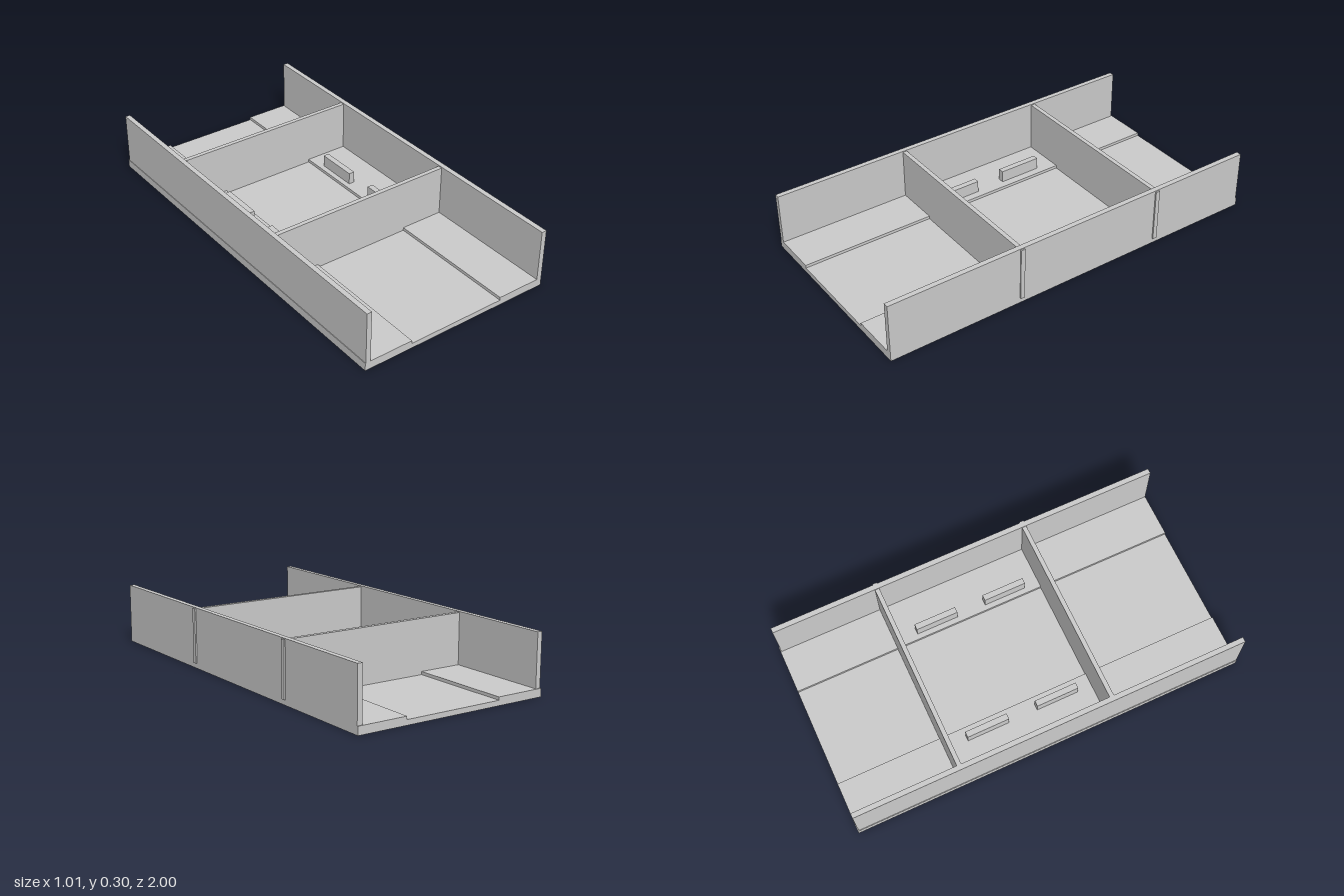
import * as THREE from 'three';

const material = new THREE.MeshStandardMaterial({ color: 0xcccccc, flatShading: true });

// Box given by its minimum and maximum along each axis
function slab(name, [x0, x1], [y0, y1], [z0, z1]) {
  const mesh = new THREE.Mesh(new THREE.BoxGeometry(x1 - x0, y1 - y0, z1 - z0), material);
  mesh.position.set((x0 + x1) / 2, (y0 + y1) / 2, (z0 + z1) / 2);
  mesh.name = name;
  return mesh;
}

export function createModel() {
  const group = new THREE.Group();
  group.name = 'openTray';

  // Floor with a shallow channel running front to back
  const section = new THREE.Shape([
    [-0.507, 0], [0.498, 0], [0.498, 0.04], [0.248, 0.04],
    [0.248, 0.025], [-0.257, 0.025], [-0.257, 0.04], [-0.507, 0.04],
  ].map(([x, y]) => new THREE.Vector2(x, y)));
  const floor = new THREE.Mesh(
    new THREE.ExtrudeGeometry(section, { depth: 2, bevelEnabled: false }), material);
  floor.position.z = -1;
  floor.name = 'channelledFloor';
  group.add(floor);

  // Long side walls
  group.add(slab('rightWall', [-0.504, -0.479], [0.04, 0.298], [-0.995, 1]));
  group.add(slab('leftWall', [0.472, 0.498], [0.04, 0.298], [-0.995, 1]));

  // Cross partitions, their ends passing through the left wall
  for (const z of [-0.462, 0.313]) {
    group.add(slab('partition', [-0.481, 0.505], [0.025, 0.293], [z - 0.011, z + 0.011]));
  }

  // Small rails in the middle bay
  for (const x of [-0.31, 0.29]) {
    for (const z of [-0.247, 0.118]) {
      group.add(slab('rail', [x - 0.015, x + 0.015], [0.04, 0.1], [z - 0.108, z + 0.108]));
    }
  }
  return group;
}
